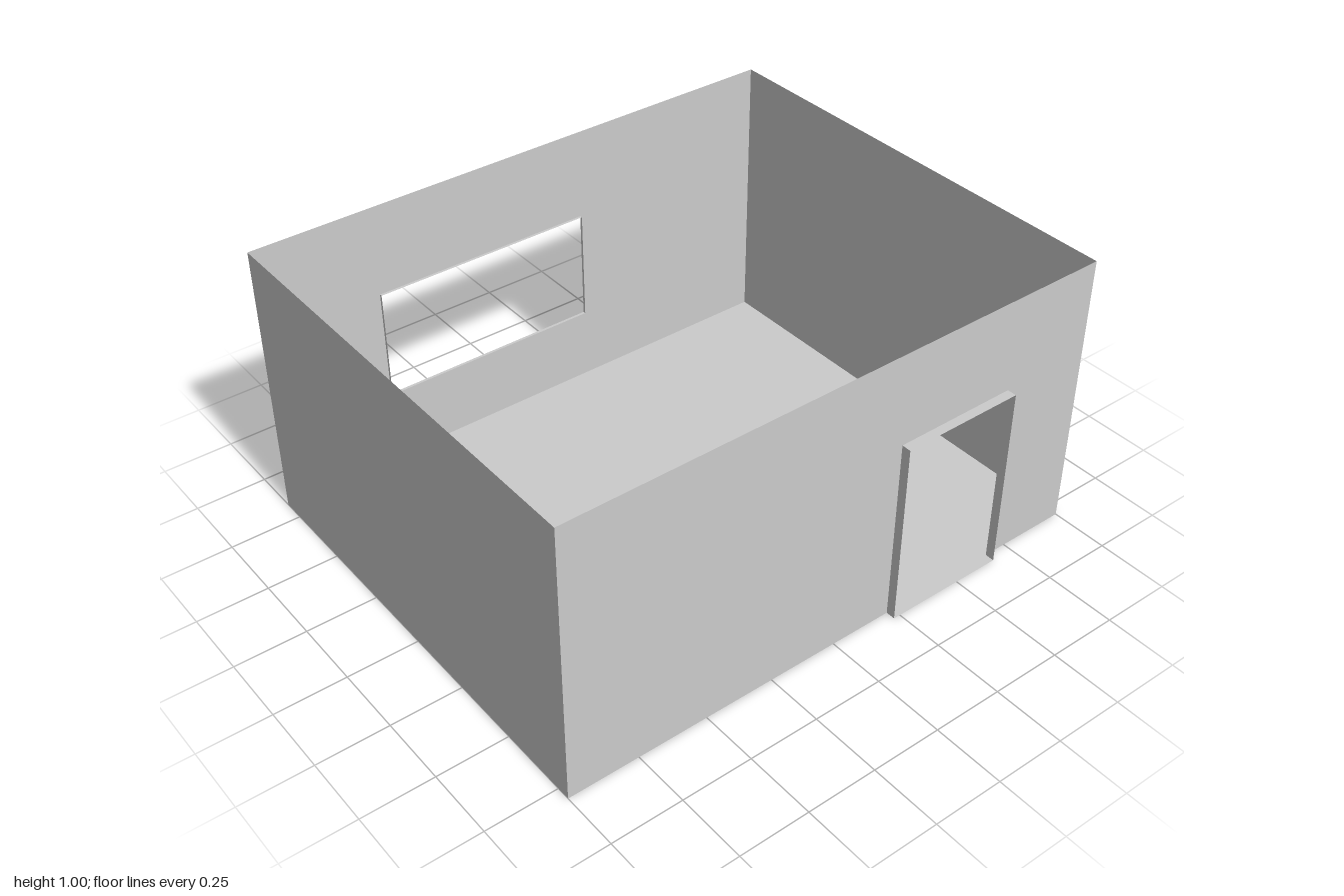
import * as THREE from 'three';

const LEFT = 0.797, RIGHT = -0.83, DEPTH = 2, HEIGHT = 1;
const WIDTH = LEFT - RIGHT, MID = (LEFT + RIGHT) / 2;

// Openings in the side walls, and how far their linings reach in x
const door = { z0: -0.667, z1: -0.225, y0: 0, y1: 0.667, x0: LEFT, x1: 0.83 };
const opening = { z0: -0.235, z1: 0.57, y0: 0.27, y1: 0.672, x0: RIGHT, x1: RIGHT + 0.01 };

export function createModel() {
  const room = new THREE.Group();
  room.name = 'room';
  const material = new THREE.MeshStandardMaterial({ color: 0xcccccc, side: THREE.DoubleSide, flatShading: true });

  function add(name, geometry, parent = room) {
    const mesh = new THREE.Mesh(geometry, material);
    mesh.name = name;
    parent.add(mesh);
  }

  const corners = (list) => list.map(([z, y]) => new THREE.Vector2(-z, y));

  // Side wall drawn in z and y, then turned to stand at x
  function sideWall(name, x, outline, hole) {
    const shape = new THREE.Shape(corners(outline));
    if (hole) shape.holes.push(new THREE.Path(corners(hole)));
    add(name, new THREE.ShapeGeometry(shape).rotateY(Math.PI / 2).translate(x, 0, 0));
  }

  // Four thin strips lining an opening
  function lining(name, { z0, z1, y0, y1, x0, x1 }) {
    const group = new THREE.Group();
    group.name = name;
    const x = (x0 + x1) / 2, depth = x1 - x0;
    for (const [part, y] of [['sill', y0], ['head', y1]]) {
      add(part, new THREE.PlaneGeometry(depth, z1 - z0).rotateX(-Math.PI / 2).translate(x, y, (z0 + z1) / 2), group);
    }
    for (const [part, z] of [['backJamb', z0], ['frontJamb', z1]]) {
      add(part, new THREE.PlaneGeometry(depth, y1 - y0).translate(x, (y0 + y1) / 2, z), group);
    }
    room.add(group);
  }

  // Floor, front wall and back wall
  add('floor', new THREE.PlaneGeometry(WIDTH, DEPTH).rotateX(-Math.PI / 2).translate(MID, 0, 0));
  add('frontWall', new THREE.PlaneGeometry(WIDTH, HEIGHT).translate(MID, HEIGHT / 2, DEPTH / 2));
  add('backWall', new THREE.PlaneGeometry(WIDTH, HEIGHT).rotateY(Math.PI).translate(MID, HEIGHT / 2, -DEPTH / 2));

  // Left wall, notched for the doorway
  sideWall('doorWall', LEFT, [
    [1, 0], [door.z1, 0], [door.z1, door.y1], [door.z0, door.y1], [door.z0, 0],
    [-1, 0], [-1, HEIGHT], [1, HEIGHT],
  ]);

  // Right wall with the window opening
  const { z0, z1, y0, y1 } = opening;
  sideWall('windowWall', RIGHT, [[1, 0], [-1, 0], [-1, HEIGHT], [1, HEIGHT]],
    [[z0, y0], [z1, y0], [z1, y1], [z0, y1]]);

  lining('doorFrame', door);
  lining('windowFrame', opening);
  return room;
}
